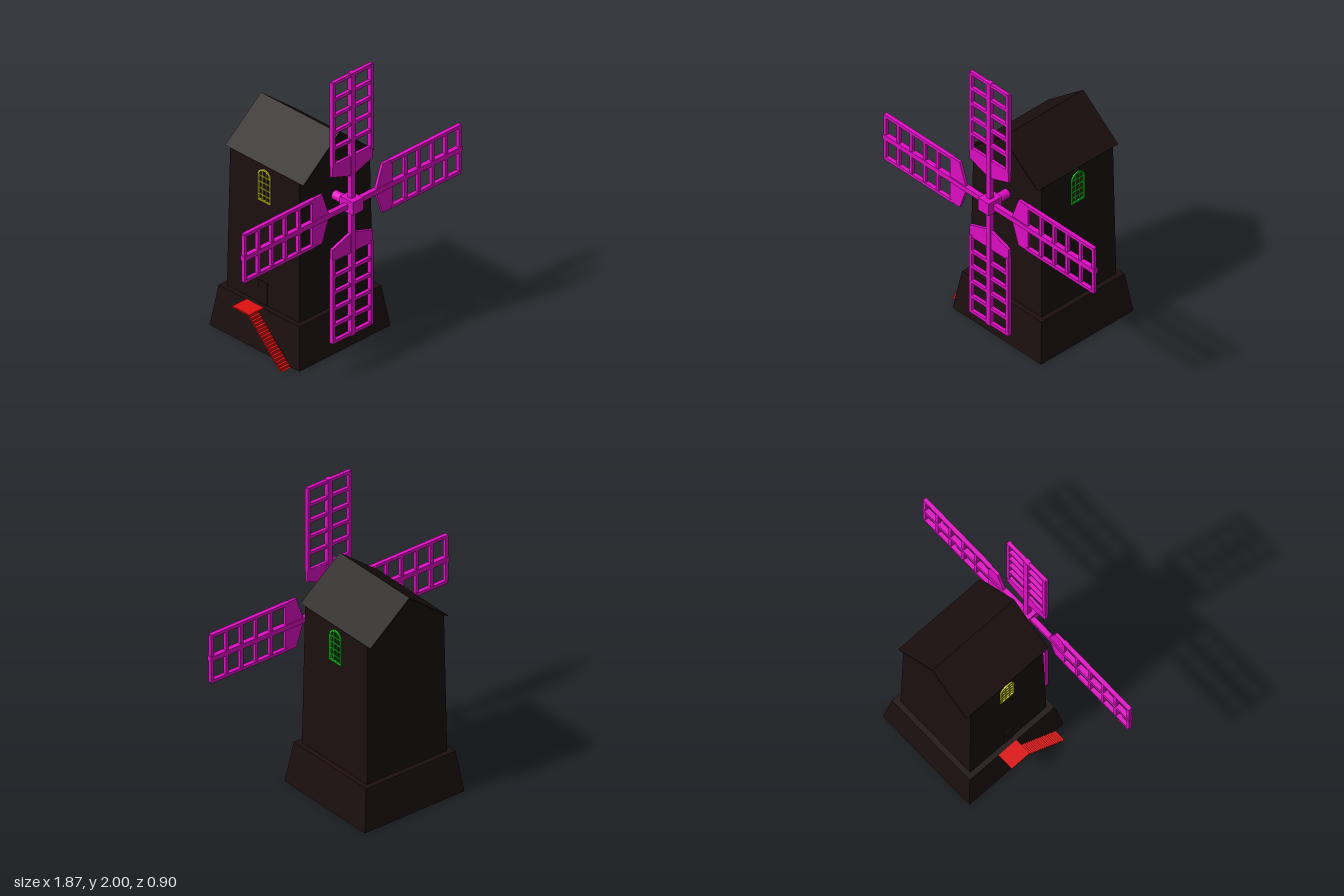
import * as THREE from 'three';

const mat = (color, side = THREE.FrontSide) =>
  new THREE.MeshStandardMaterial({ color, side, flatShading: true });
const dark = mat(0x1c0f0f);
const darkSheet = mat(0x1c0f0f, THREE.DoubleSide);
const magenta = mat(0xe00cc4);
const green = mat(0x10d018);
const yellow = mat(0xc8c810);
const red = mat(0xdd1010);

const CZ = -0.057;            // tower axis
const LEDGE = 0.285, EAVE = 1.27, RIDGE = 1.515;
const HUB_Y = 1.063, SAIL_Z = 0.392;

// half width of the tapering tower at height y
const half = y => THREE.MathUtils.mapLinear(Math.min(y, EAVE), LEDGE, EAVE, 0.316, 0.302);

function add(parent, name, geometry, material, x = 0, y = 0, z = 0) {
  const mesh = new THREE.Mesh(geometry, material);
  mesh.name = name;
  mesh.position.set(x, y, z);
  parent.add(mesh);
  return mesh;
}

const box = (parent, name, w, h, d, material, x, y, z) =>
  add(parent, name, new THREE.BoxGeometry(w, h, d), material, x, y, z);

const polygon = points => new THREE.Shape(points.map(p => new THREE.Vector2(...p)));

// round-headed opening, y measured from its sill
function arch(Type, r, bottom, spring) {
  const s = new Type();
  s.moveTo(-r, bottom);
  s.lineTo(r, bottom);
  s.lineTo(r, spring);
  s.absarc(0, spring, r, 0, Math.PI, false);
  s.closePath();
  return s;
}

// wall sheet leaning with the tower's taper
function wall(shape, side, alongX) {
  const g = new THREE.ShapeGeometry(shape, 10);
  const p = g.attributes.position;
  for (let i = 0; i < p.count; i++) {
    const u = p.getX(i), y = p.getY(i), out = side * half(y);
    if (alongX) p.setXYZ(i, u, y, CZ + out);
    else p.setXYZ(i, out, y, CZ + u);
  }
  g.computeVertexNormals();
  return g;
}

function makeTower() {
  const tower = new THREE.Group();
  tower.name = 'tower';

  // flared square base
  const base = new THREE.CylinderGeometry(0.352 * Math.SQRT2, 0.391 * Math.SQRT2, LEDGE, 4);
  base.rotateY(Math.PI / 4);
  add(tower, 'base', base, dark, 0, LEDGE / 2, CZ);

  const b = half(LEDGE), t = half(EAVE);
  for (const s of [1, -1]) {
    // gable walls, front and back
    const gable = polygon([[-b, LEDGE], [b, LEDGE], [t, EAVE], [0, RIDGE - 0.01], [-t, EAVE]]);
    add(tower, s > 0 ? 'frontWall' : 'backWall', wall(gable, s, true), darkSheet);

    // side walls with an open window
    const flank = polygon([[-b, LEDGE], [b, LEDGE], [t, EAVE], [-t, EAVE]]);
    const hole = arch(THREE.Path, 0.05, 1.015, 1.182);
    flank.holes.push(hole);
    add(tower, s > 0 ? 'leftWall' : 'rightWall', wall(flank, s, false), darkSheet);
  }

  // thin saddle roof overhanging the gables
  const roof = polygon([[-0.308, EAVE], [0, RIDGE + 0.003], [0.308, EAVE],
    [0.296, EAVE], [0, RIDGE - 0.01], [-0.296, EAVE]]);
  add(tower, 'roof', new THREE.ExtrudeGeometry(roof, { depth: 0.68, bevelEnabled: false }),
    dark, 0, 0, CZ - 0.34);

  // door above the landing
  box(tower, 'door', 0.008, 0.16, 0.075, dark, -0.316, LEDGE + 0.08, CZ);
  return tower;
}

function makeWindow(material) {
  const win = new THREE.Group();
  win.name = 'window';
  const frame = arch(THREE.Shape, 0.056, 0, 0.175);
  frame.holes.push(arch(THREE.Path, 0.045, 0.011, 0.175));
  add(win, 'windowFrame',
    new THREE.ExtrudeGeometry(frame, { depth: 0.012, bevelEnabled: false, curveSegments: 10 }), material, 0, 0, -0.006);
  for (const x of [-0.016, 0.016]) box(win, 'upright', 0.006, 0.212, 0.008, material, x, 0.112, 0);
  for (let i = 1; i <= 4; i++) box(win, 'glazingBar', 0.1, 0.006, 0.008, material, 0, i * 0.044, 0);
  return win;
}

// one sail pointing up from the hub
function makeSail() {
  const sail = new THREE.Group();
  sail.name = 'sail';
  box(sail, 'spar', 0.036, 0.937, 0.034, magenta, 0, 0.4685, 0);
  for (const s of [-1, 1]) box(sail, 'rail', 0.022, 0.6, 0.028, magenta, s * 0.163, 0.63, 0);
  for (let i = 0; i < 5; i++) box(sail, 'crossbar', 0.33, 0.022, 0.024, magenta, 0, 0.457 + i * 0.1162, 0);
  const plate = polygon([[-0.174, 0.26], [-0.015, 0.205], [0.015, 0.205], [0.174, 0.26],
    [0.174, 0.345], [-0.174, 0.345]]);
  add(sail, 'sailPlate', new THREE.ExtrudeGeometry(plate, { depth: 0.02, bevelEnabled: false }),
    magenta, 0, 0, -0.01);
  return sail;
}

function makeRotor() {
  const rotor = new THREE.Group();
  rotor.name = 'rotor';
  rotor.position.set(0, HUB_Y, SAIL_Z);
  for (let i = 0; i < 4; i++) {
    const sail = makeSail();
    sail.rotation.z = i * Math.PI / 2;
    rotor.add(sail);
  }
  box(rotor, 'hub', 0.092, 0.092, 0.115, magenta, 0, 0, 0);
  const axle = new THREE.CylinderGeometry(0.031, 0.031, 0.16, 16).rotateX(Math.PI / 2);
  add(rotor, 'axle', axle, magenta, 0, 0, -0.115);
  return rotor;
}

function makeStairs() {
  const stairs = new THREE.Group();
  stairs.name = 'stairs';
  box(stairs, 'landing', 0.12, 0.01, 0.15, red, -0.411, LEDGE - 0.003, -0.095);

  // stepped sheet running down towards the front
  const n = 18, z0 = -0.02, run = 0.285 / n, rise = LEDGE / n;
  const pts = [[z0, LEDGE]];
  for (let i = 0; i < n; i++) {
    pts.push([z0 + i * run, LEDGE - (i + 1) * rise], [z0 + (i + 1) * run, LEDGE - (i + 1) * rise]);
  }
  pts.push([z0 + (n - 1) * run - 0.008, 0], [z0 - 0.008, LEDGE - rise]);
  const flight = new THREE.ExtrudeGeometry(polygon(pts), { depth: 0.08, bevelEnabled: false });
  flight.rotateY(-Math.PI / 2);
  add(stairs, 'flight', flight, red, -0.391, 0, 0);
  return stairs;
}

export function createModel() {
  const model = new THREE.Group();
  model.name = 'windmill';
  model.add(makeTower(), makeRotor(), makeStairs());

  // one window in each side wall
  for (const [s, material] of [[1, green], [-1, yellow]]) {
    const win = makeWindow(material);
    win.position.set(s * 0.306, 1.008, CZ);
    win.rotation.y = s * Math.PI / 2;
    model.add(win);
  }
  return model;
}
